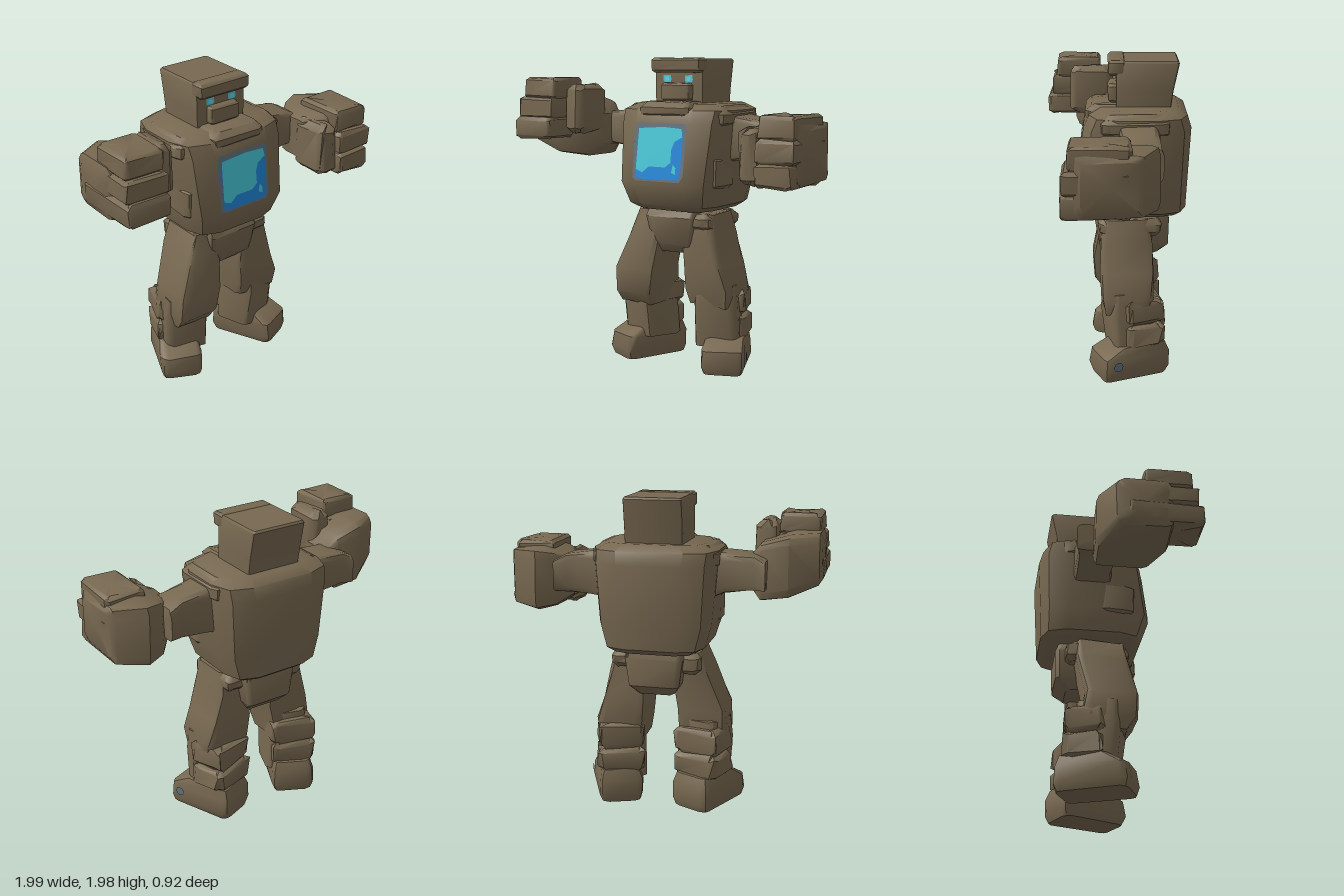
import * as THREE from 'three';
import { toCreasedNormals } from 'three/addons/utils/BufferGeometryUtils.js';

const flat = (name, color, side = THREE.FrontSide) => {
  const m = new THREE.MeshStandardMaterial({ color, side });
  m.name = name;
  return m;
};

export function createModel() {
  const model = new THREE.Group();
  model.name = 'stoneGolem';
  const stone = flat('brown stone', 0x776850);
  const cyan = flat('crystal cyan', 0x48cbdc, THREE.DoubleSide);
  const blue = flat('crystal blue', 0x2188dc, THREE.DoubleSide);
  const halo = flat('crystal halo', 0x627482, THREE.DoubleSide);
  const glow = flat('eye glow', 0x7cdcf2, THREE.DoubleSide);

  let seed = 7;
  const rnd = () => ((seed = (seed * 16807) % 2147483647) / 2147483647) - 0.5;

  // Lofted rock along an axis (0 x, 1 y, 2 z) through rectangles with rounded corners.
  // Ring: [t, u0, u1, v0, v1, corner]; (u, v) = (y, z), (z, x) or (x, y).
  function rock(name, axis, rings, jitter = 0.01, parent = model) {
    rings = [...rings].sort((a, b) => a[0] - b[0]);
    const pos = [], idx = [], n = rings.length, sides = 12;
    const put = (t, u, v, j) => {
      const p = [0, 0, 0];
      p[axis] = t + rnd() * j;
      p[(axis + 1) % 3] = u + rnd() * j;
      p[(axis + 2) % 3] = v + rnd() * j;
      pos.push(p[0], Math.max(0, p[1]), p[2]);
    };
    for (const [t, u0, u1, v0, v1, corner] of rings) {
      const b = corner ?? 0.17 * Math.min(u1 - u0, v1 - v0), m = b * 0.27;
      [[u1, v0 + b], [u1, v1 - b], [u1 - m, v1 - m], [u1 - b, v1], [u0 + b, v1], [u0 + m, v1 - m],
        [u0, v1 - b], [u0, v0 + b], [u0 + m, v0 + m], [u0 + b, v0], [u1 - b, v0], [u1 - m, v0 + m]]
        .forEach(([u, v]) => put(t, u, v, jitter));
    }
    for (const [t, u0, u1, v0, v1] of [rings[0], rings[n - 1]]) put(t, (u0 + u1) / 2, (v0 + v1) / 2, 0);
    for (let j = 0; j < sides; j++) {
      const k = (j + 1) % sides, top = (n - 1) * sides;
      for (let i = 0; i < n - 1; i++) {
        const a = i * sides + j, b = i * sides + k;
        idx.push(a, b, b + sides, a, b + sides, a + sides);
      }
      idx.push(n * sides, k, j, n * sides + 1, top + j, top + k);
    }
    const g = new THREE.BufferGeometry();
    g.setAttribute('position', new THREE.Float32BufferAttribute(pos, 3));
    g.setIndex(idx);
    const mesh = new THREE.Mesh(toCreasedNormals(g, 0.7), stone);
    mesh.name = name;
    parent.add(mesh);
    return mesh;
  }

  // Bevelled block from its bounds
  function block(name, [x0, x1], [y0, y1], [z0, z1], b = 0.025, jitter = 0.01, parent = model) {
    const inner = [z0 + b, z1 - b, x0 + b, x1 - b, b], outer = [z0, z1, x0, x1, b * 1.3];
    return rock(name, 1, [[y0, ...inner], [y0 + b, ...outer], [y1 - b, ...outer], [y1, ...inner]], jitter, parent);
  }

  // Thin painted outline, laid on a plane leaning with height
  function plate(name, pts, material, zAt) {
    const g = new THREE.ShapeGeometry(new THREE.Shape(pts.map(p => new THREE.Vector2(...p))));
    const p = g.attributes.position;
    for (let i = 0; i < p.count; i++) p.setZ(i, zAt(p.getY(i)));
    g.computeVertexNormals();
    const mesh = new THREE.Mesh(g, material);
    mesh.name = name;
    model.add(mesh);
  }

  // Torso
  rock('torso', 1, [
    [1.025, -0.39, 0.14, -0.26, 0.26, 0.12],
    [1.06, -0.435, 0.2, -0.315, 0.315, 0.15],
    [1.2, -0.44, 0.25, -0.355, 0.355, 0.165],
    [1.58, -0.46, 0.2, -0.385, 0.385, 0.19],
    [1.66, -0.435, 0.165, -0.39, 0.385, 0.18],
    [1.7, -0.38, 0.09, -0.31, 0.31, 0.14]], 0);
  // Collar and chest plates
  block('collar', [-0.19, 0.19], [1.6, 1.71], [-0.3, 0.185], 0.035);
  for (const s of [-1, 1]) {
    const span = (a, b) => (s > 0 ? [a, b] : [-b, -a]);
    block('shoulderPlate', span(0.2, 0.392), [1.53, 1.69], [-0.33, 0.1], 0.05);
    block('ribPlate', span(0.19, 0.365), [1.15, 1.4], [-0.1, 0.145], 0.045);
  }

  // Chest crystal
  const front = d => y => 0.25 - (y - 1.2) * 0.05 / 0.38 + d;
  plate('crystalHalo', [[-0.195, 1.235], [-0.17, 1.217], [0.16, 1.22], [0.185, 1.26], [0.19, 1.56],
    [0.16, 1.58], [-0.18, 1.58], [-0.2, 1.5]], halo, front(0.002));
  plate('crystalDeep', [[-0.17, 1.24], [-0.12, 1.23], [0.15, 1.235], [0.165, 1.3], [0.165, 1.53],
    [0.13, 1.55], [-0.16, 1.54], [-0.17, 1.45]], blue, front(0.004));
  plate('crystalBright', [[-0.17, 1.29], [-0.12, 1.27], [-0.07, 1.31], [0.05, 1.31], [0.09, 1.34], [0.09, 1.42],
    [0.11, 1.47], [0.165, 1.5], [0.155, 1.55], [0.02, 1.558], [-0.165, 1.545]], cyan, front(0.006));
  plate('crystalGlint', [[0.1, 1.28], [0.13, 1.27], [0.13, 1.31], [0.11, 1.33]], cyan, front(0.006));

  // Head
  rock('skull', 1, [
    [1.66, -0.33, 0, -0.185, 0.175, 0.012],
    [1.8, -0.35, 0, -0.19, 0.175, 0.015],
    [1.965, -0.385, 0, -0.19, 0.173, 0.015],
    [1.978, -0.375, 0, -0.182, 0.165, 0.015]], 0);
  block('brow', [-0.19, 0.175], [1.89, 1.982], [-0.06, 0.05], 0.014, 0.004);
  block('jaw', [-0.115, 0.1], [1.71, 1.825], [-0.05, 0.05], 0.014, 0.004);
  for (const x of [-0.09, 0.073]) {
    plate('eye', [[x - 0.03, 1.84], [x - 0.02, 1.828], [x + 0.022, 1.828], [x + 0.03, 1.845],
      [x + 0.026, 1.875], [x - 0.03, 1.872]], cyan, () => 0.004);
    plate('eyeGlow', [[x - 0.014, 1.838], [x + 0.016, 1.84], [x + 0.014, 1.865], [x - 0.016, 1.862]], glow, () => 0.007);
  }

  // Raised right arm
  const rightArm = new THREE.Group();
  rightArm.name = 'rightArm';
  rock('upperArm', 0, [[-0.34, 1.36, 1.64, -0.25, -0.01], [-0.42, 1.4, 1.64, -0.25, -0.02],
    [-0.6, 1.42, 1.63, -0.25, -0.01], [-0.67, 1.42, 1.6, -0.27, 0]], 0.01, rightArm);
  rock('palm', 0, [[-0.56, 1.42, 1.62, -0.12, 0.08], [-0.63, 1.34, 1.7, -0.165, 0.18, 0.05],
    [-0.8, 1.36, 1.75, -0.17, 0.27, 0.06], [-0.97, 1.43, 1.75, -0.07, 0.27, 0.05],
    [-0.99, 1.47, 1.7, -0.03, 0.23, 0.04]], 0.01, rightArm);
  [[1.465, 0.455, -0.992], [1.595, 0.43, -0.98], [1.72, 0.395, -0.962]].forEach(([y, z, x], i) =>
    block('finger', [x, -0.7], [y, y + 0.135], [i * 0.05, z], 0.018, 0.014, rightArm));
  block('thumb', [-0.71, -0.56], [1.5, 1.81], [0.02, 0.3], 0.035, 0.02, rightArm);
  model.add(rightArm);

  // Lowered left arm
  const leftArm = new THREE.Group();
  leftArm.name = 'leftArm';
  rock('upperArm', 0, [[0.34, 1.34, 1.64, -0.26, -0.01], [0.42, 1.35, 1.62, -0.26, -0.02],
    [0.58, 1.36, 1.6, -0.26, -0.03], [0.66, 1.36, 1.56, -0.27, 0]], 0.01, leftArm);
  rock('palm', 0, [[0.59, 1.31, 1.57, -0.1, 0.1], [0.68, 1.25, 1.6, -0.2, 0.18, 0.05],
    [0.79, 1.23, 1.62, -0.25, 0.24, 0.06], [0.965, 1.25, 1.61, -0.16, 0.24, 0.05],
    [0.988, 1.29, 1.57, -0.12, 0.2, 0.04]], 0.01, leftArm);
  [[1.235, 0.32, 0.965], [1.375, 0.31, 0.985], [1.51, 0.275, 0.97]].forEach(([y, z, x]) =>
    block('finger', [0.72, x], [y, y + 0.142], [-0.08, z], 0.018, 0.014, leftArm));
  block('thumb', [0.58, 0.73], [1.24, 1.58], [0.02, 0.28], 0.035, 0.02, leftArm);
  model.add(leftArm);

  // Pelvis with hip plates, the left one reaching the front
  rock('pelvis', 1, [[0.74, -0.26, 0.05, -0.11, 0.12, 0.02], [0.8, -0.33, 0.1, -0.155, 0.16, 0.025],
    [0.98, -0.335, 0.13, -0.18, 0.185, 0.025], [1.04, -0.32, 0.1, -0.17, 0.175, 0.025]]);
  block('leftHipPlate', [0.12, 0.29], [0.9, 1.01], [-0.28, 0.11], 0.03);
  block('rightHipPlate', [-0.28, -0.12], [0.88, 1.01], [-0.28, 0], 0.03);

  // Legs: shins and feet turn outward
  const turn = 0.42;
  function lowerLeg(leg, s, shinX, footX, footZ) {
    const turned = (mesh, x, z, angle) => {
      mesh.position.set(x, 0, z);
      mesh.rotation.y = s * angle;
    };
    for (const y of [0.2, 0.36])
      turned(block('calf', [-0.15, 0.15], [y, y + 0.155], [-0.125, 0.12], 0.025, 0.025, leg), shinX, -0.145, 0.3);
    turned(rock('shin', 1, [[0.56, -0.13, 0.13, -0.125, 0.125], [0.42, -0.15, 0.14, -0.14, 0.14],
      [0.15, -0.16, 0.11, -0.145, 0.145]], 0.012, leg), shinX, -0.07, 0.3);
    turned(rock('foot', 1, [[0, -0.215, 0.215, -0.125, 0.125, 0.04], [0.05, -0.23, 0.23, -0.14, 0.14, 0.045],
      [0.15, -0.23, 0.215, -0.14, 0.14, 0.045], [0.22, -0.205, 0.1, -0.12, 0.125, 0.04]], 0.01, leg), footX, footZ, turn);
    model.add(leg);
  }

  const rightLeg = new THREE.Group();
  rightLeg.name = 'rightLeg';
  rock('thigh', 1, [[1.01, -0.22, 0.08, -0.27, -0.1], [0.88, -0.22, 0.11, -0.32, -0.08],
    [0.62, -0.18, 0.15, -0.42, -0.11], [0.46, -0.2, 0.14, -0.43, -0.13], [0.38, -0.16, 0.08, -0.42, -0.14]], 0.015, rightLeg);
  lowerLeg(rightLeg, -1, -0.285, -0.315, -0.095);

  const leftLeg = new THREE.Group();
  leftLeg.name = 'leftLeg';
  rock('thigh', 1, [[1.01, -0.2, 0.08, 0.1, 0.28], [0.86, -0.23, 0.1, 0.08, 0.31],
    [0.68, -0.24, 0.1, 0.08, 0.36], [0.52, -0.23, 0.1, 0.09, 0.41], [0.42, -0.2, 0.07, 0.1, 0.4]], 0.015, leftLeg);
  lowerLeg(leftLeg, 1, 0.265, 0.308, -0.083);

  // Blue fleck on the outside of the left foot
  const fleck = new THREE.Mesh(new THREE.CircleGeometry(0.032, 8), halo);
  fleck.name = 'footFleck';
  fleck.rotation.y = Math.PI / 2 + turn;
  fleck.position.set(0.147, 0.11, 0.14).applyAxisAngle(new THREE.Vector3(0, 1, 0), turn);
  fleck.position.add(new THREE.Vector3(0.308, 0, -0.083));
  model.add(fleck);

  return model;
}
